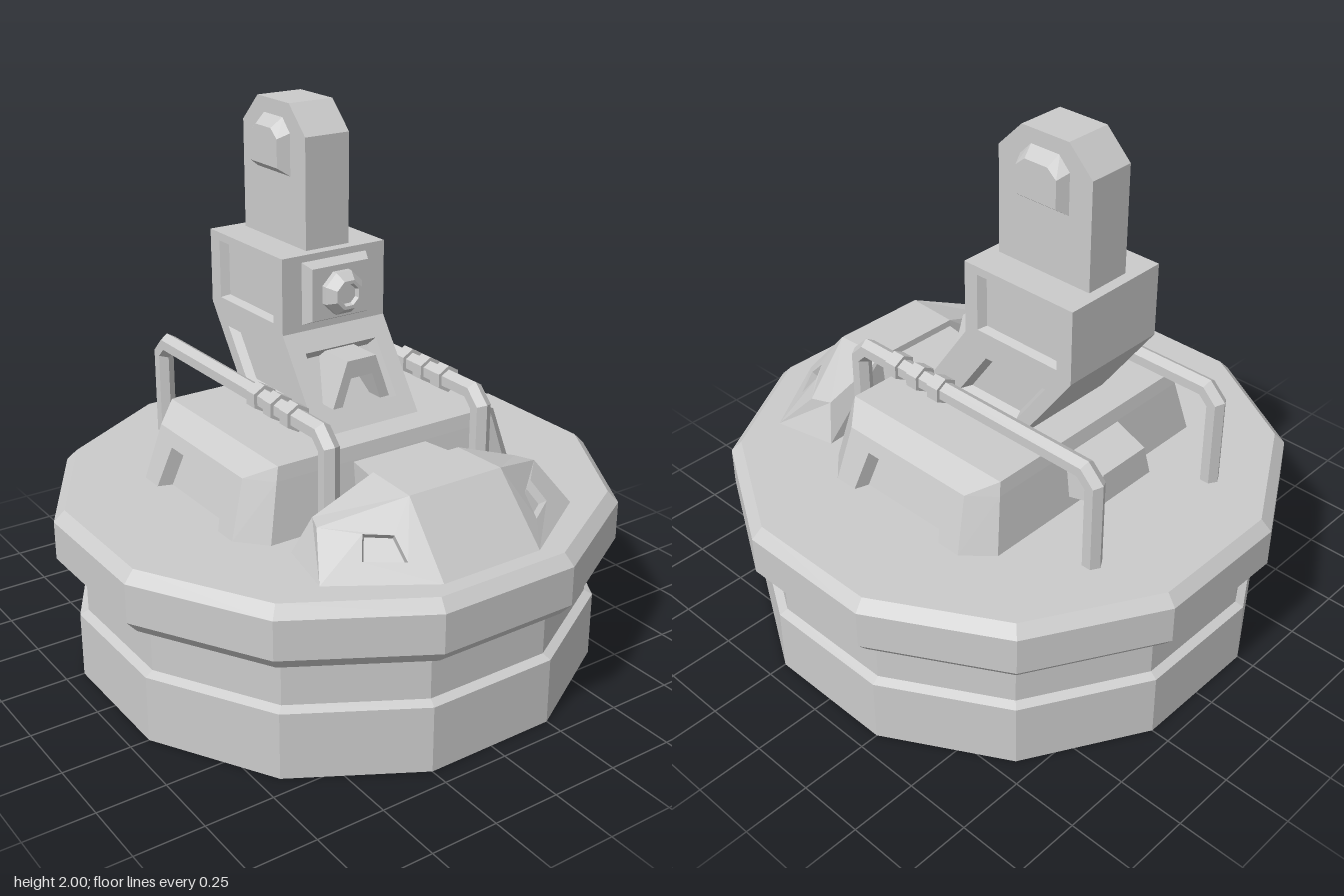
import * as THREE from 'three';
import { ConvexGeometry } from 'three/addons/geometries/ConvexGeometry.js';

const V = (x, y, z) => new THREE.Vector3(x, y, z);
const material = new THREE.MeshStandardMaterial({ color: 0xcccccc, flatShading: true });

function part(name, geometry) {
  const mesh = new THREE.Mesh(geometry, material);
  mesh.name = name;
  return mesh;
}

// A list of corner points, three per triangle, becomes a faceted geometry
function faceted(points) {
  const g = new THREE.BufferGeometry().setFromPoints(points);
  g.computeVertexNormals();
  return g;
}

const quad = (a, b, c, d) => [a, b, c, a, c, d];
const fan = (ring) => ring.slice(2).flatMap((p, i) => [ring[0], ring[i + 1], p]);
const flipX = (p) => V(-p.x, p.y, p.z);

// Adds the copy on the other side, with the corner order reversed
const mirrored = (points) => points.concat(points.map(flipX).reverse());

// Four-cornered face (bottom left, bottom right, top right, top left) with a sunken panel;
// taper is how far the floor shrinks towards its middle
function panel(corners, hole, depth, taper) {
  const [bl, br, tr, tl] = corners;
  const normal = br.clone().sub(bl).cross(tl.clone().sub(bl)).normalize();
  const rim = hole.map(([u, v]) => bl.clone().lerp(br, u).lerp(tl.clone().lerp(tr, u), v));
  const middle = rim.reduce((s, p) => s.add(p), V(0, 0, 0)).divideScalar(4);
  const floor = rim.map((p) => p.clone().lerp(middle, taper).addScaledVector(normal, -depth));
  const out = quad(...floor);
  for (let i = 0; i < 4; i++) {
    const j = (i + 1) % 4;
    out.push(...quad(corners[i], corners[j], rim[j], rim[i]));
    out.push(...quad(rim[i], rim[j], floor[j], floor[i]));
  }
  return out;
}

const rectHole = (u0, u1, v0, v1) => [[u0, v0], [u1, v0], [u1, v1], [u0, v1]];

// Convex solid that is symmetric in x, from the points of one side
const symmetricHull = (pts) => new ConvexGeometry(pts.flatMap((p) => [V(...p), flipX(V(...p))]));

// Twelve-sided turned base; radii are measured to the flat sides
function base() {
  const profile = [[0, 0], [0.93, 0], [0.93, 0.245], [0.9, 0.26], [0.9, 0.42], [0.955, 0.435],
    [0.996, 0.483], [0.996, 0.625], [0.958, 0.665], [0, 0.665]];
  const pts = profile.map(([r, y]) => new THREE.Vector2(r / Math.cos(Math.PI / 12), y));
  return new THREE.LatheGeometry(pts, 12, Math.PI / 12).toNonIndexed();
}

// Housing with chamfered corners, sloped shoulders and a sunken panel on each side
function housing() {
  const ring = (y, a, hx, zf, zb, c) => [
    V(-a, y, zf), V(a, y, zf), V(hx, y, zf - c), V(hx, y, zb + c),
    V(a, y, zb), V(-a, y, zb), V(-hx, y, zb + c), V(-hx, y, zf - c)];
  const rings = [
    ring(0.665, 0.51, 0.6, 0.375, -0.435, 0.1),
    ring(0.87, 0.463, 0.54, 0.34, -0.4, 0.09),
    ring(0.92, 0.45, 0.45, 0.33, -0.39, 0)];
  const out = fan(rings[2]);
  for (let k = 0; k < 2; k++) {
    for (let i = 0; i < 8; i++) {
      const j = (i + 1) % 8;
      const face = [rings[k][i], rings[k][j], rings[k + 1][j], rings[k + 1][i]];
      const sunken = k === 0 && (i === 2 || i === 6);
      out.push(...(sunken
        ? panel(face, [[0.15, 0], [0.85, 0], [0.81, 0.75], [0.19, 0.75]], 0.05, 0.07)
        : quad(...face)));
    }
  }
  return faceted(out);
}

// Front console, with a sunken vent in each angled face
function consoleBlock() {
  const f0 = V(0.2, 0.665, 0.9), f1 = V(0.53, 0.665, 0.69), b1 = V(0.48, 0.665, 0.45), b0 = V(0.18, 0.665, 0.47);
  const t0 = V(0.19, 0.89, 0.7), t1 = V(0.46, 0.8, 0.57), u1 = V(0.43, 0.8, 0.5), u0 = V(0.18, 0.89, 0.49);
  const half = [
    ...panel([f0, f1, t1, t0], [[0.23, 0.27], [0.62, 0.33], [0.56, 0.71], [0.27, 0.61]], 0.03, 0.1),
    ...quad(f1, b1, u1, t1),
    ...quad(t0, t1, u1, u0),
    ...quad(b1, b0, u0, u1)];
  const centre = [
    ...quad(flipX(f0), f0, t0, flipX(t0)),
    ...quad(flipX(t0), t0, u0, flipX(u0)),
    ...quad(b0, flipX(b0), flipX(u0), u0)];
  return faceted(mirrored(half).concat(centre));
}

// Leaning neck with an upright upper block, and sunken panels
function neck() {
  const w = 0.215;
  const F = [V(w, 0.92, 0.215), V(w, 1.23, 0), V(w, 1.505, 0)];
  const B = [V(w, 0.92, -0.26), V(w, 1.23, -0.48), V(w, 1.505, -0.48)];
  const sides = [
    ...panel([F[0], B[0], B[1], F[1]], rectHole(0.3, 0.87, 0.19, 0.78), 0.03, 0.15),
    ...panel([F[1], B[1], B[2], F[2]], rectHole(0.12, 0.87, 0.11, 0.89), 0.03, 0.09)];
  const out = mirrored(sides);
  out.push(...panel([flipX(F[0]), F[0], F[1], flipX(F[1])], rectHole(0.15, 0.85, 0.2, 0.79), 0.05, 0.07));
  out.push(...quad(flipX(F[1]), F[1], F[2], flipX(F[2])));
  for (let i = 0; i < 2; i++) out.push(...quad(B[i], flipX(B[i]), flipX(B[i + 1]), B[i + 1]));
  out.push(...quad(flipX(F[2]), F[2], B[2], flipX(B[2])));
  return faceted(out);
}

// Arched hood, open below, standing in the sunken front panel of the neck
function frontHood() {
  const outline = [[-0.12, 0.99], [-0.06, 1.155], [0.06, 1.155], [0.12, 0.99],
    [0.08, 0.99], [0.045, 1.09], [-0.045, 1.09], [-0.08, 0.99]];
  const shape = new THREE.Shape(outline.map(([x, y]) => new THREE.Vector2(x, y)));
  return new THREE.ExtrudeGeometry(shape, { depth: 0.17, bevelEnabled: false });
}

// Six-sided bar swept along a bent path in the y-z plane, with mitred corners
function railBar() {
  const path = [[0.435, 0.65], [0.435, 0.99], [0.39, 1.035], [-0.64, 1.035], [-0.685, 0.99], [-0.685, 0.65]]
    .map(([z, y]) => V(0, y, z));
  const rings = path.map((p, i) => {
    const before = p.clone().sub(path[Math.max(i - 1, 0)]).normalize();
    const after = path[Math.min(i + 1, 5)].clone().sub(p).normalize();
    const dir = before.clone().add(after).normalize();
    const mitre = 1 / Math.max(dir.dot(before), dir.dot(after));
    const out = V(0, -dir.z, dir.y).multiplyScalar(mitre);
    return Array.from({ length: 6 }, (_, k) => {
      const a = (k * Math.PI) / 3;
      return p.clone().addScaledVector(out, 0.036 * Math.cos(a)).add(V(0.036 * Math.sin(a), 0, 0));
    });
  });
  const tris = [];
  for (let i = 0; i < 5; i++) {
    for (let k = 0; k < 6; k++) {
      const j = (k + 1) % 6;
      tris.push(...quad(rings[i][k], rings[i][j], rings[i + 1][j], rings[i + 1][k]));
    }
  }
  return faceted(tris);
}

export function createModel() {
  const model = new THREE.Group();
  model.add(
    part('base', base()),
    part('housing', housing()),
    part('console', consoleBlock()),
    part('neck', neck()),
    part('frontHood', frontHood()));

  // Link between console and housing, and the tapered block at the rear
  model.add(part('consoleLink', symmetricHull([
    [0.15, 0.665, 0.32], [0.18, 0.665, 0.5], [0.15, 0.865, 0.32], [0.18, 0.865, 0.5]])));
  model.add(part('rearBlock', symmetricHull([
    [0.14, 0.87, -0.38], [0.15, 0.7, -0.4], [0.11, 0.84, -0.547], [0.13, 0.73, -0.56]])));

  // Lamp: bevelled plate with an eight-sided lens and a sunken centre
  model.add(part('lampPlate', symmetricHull([
    [0.135, 1.255, 0], [0.135, 1.48, 0], [0.117, 1.273, 0.04], [0.117, 1.462, 0.04]])));
  const lensProfile = [[0.082, 0], [0.082, 0.025], [0.055, 0.06], [0.042, 0.06], [0.036, 0.045], [0, 0.045]]
    .map(([r, y]) => new THREE.Vector2(r, y));
  const lens = part('lampLens', new THREE.LatheGeometry(lensProfile, 8, Math.PI / 8).toNonIndexed());
  lens.rotation.x = Math.PI / 2;
  lens.position.set(0, 1.365, 0.036);
  model.add(lens);

  // Head with chamfered top
  model.add(part('head', symmetricHull([
    [0.09, 1.505, -0.04], [0.09, 1.9, -0.04], [0.09, 2, -0.14],
    [0.09, 2, -0.34], [0.09, 1.9, -0.44], [0.09, 1.505, -0.44]])));

  // Arched bosses on the head, and the rails with their grip rings
  const arch = [[0.108, 1.745], [0.108, 1.9], [0.06, 1.95]];
  for (const side of [1, -1]) {
    const sideName = side > 0 ? 'left' : 'right';
    const boss = arch.flatMap(([dz, y]) => [1, -1].flatMap((s) => [
      V(side * 0.085, y, -0.24 + s * dz),
      V(side * 0.132, 1.84 + (y - 1.84) * 0.65, -0.24 + s * dz * 0.8)]));
    model.add(part(sideName + 'HeadBoss', new ConvexGeometry(boss)));

    const rail = new THREE.Group();
    rail.name = sideName + 'Rail';
    rail.position.x = side * 0.32;
    rail.add(part('bar', railBar()));
    for (const z of [0.23, 0.125, 0.02]) {
      const ring = part('gripRing', new THREE.CylinderGeometry(0.05, 0.05, 0.05, 6));
      ring.rotation.x = Math.PI / 2;
      ring.position.set(0, 1.035, z);
      rail.add(ring);
    }
    model.add(rail);
  }
  return model;
}
